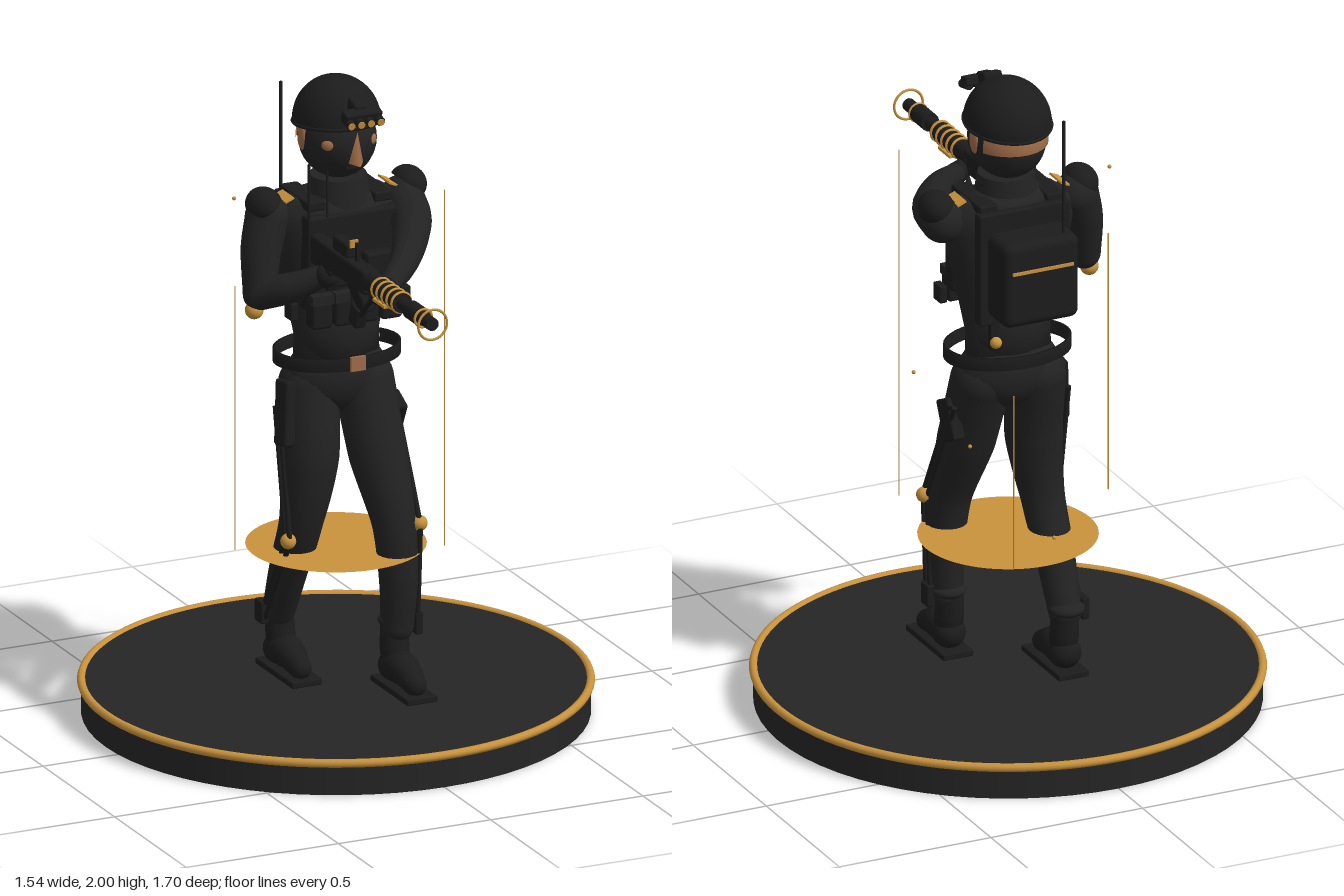
import * as THREE from 'three';
import { RoundedBoxGeometry } from 'three/addons/geometries/RoundedBoxGeometry.js';

const mat = (name, color) => {
  const m = new THREE.MeshStandardMaterial({ color, side: THREE.DoubleSide });
  m.name = name;
  return m;
};

export function createModel() {
  const root = new THREE.Group();
  root.name = 'armouredSoldier';
  const cloth = mat('charcoal cloth', 0x222222);
  const gear = mat('black gear', 0x1c1c1c);
  const stone = mat('dark base', 0x252525);
  const gold = mat('gold', 0xc8923c);
  const skin = mat('skin', 0xa06c48);
  const V = (p) => new THREE.Vector3(...p);

  const add = (name, geo, m, pos = [0, 0, 0], rot = [0, 0, 0], scale = [1, 1, 1]) => {
    const mesh = new THREE.Mesh(geo, m);
    mesh.name = name;
    mesh.position.set(...pos);
    mesh.rotation.set(...rot);
    mesh.scale.set(...scale);
    root.add(mesh);
    return mesh;
  };
  const ball = (name, r, m, pos, scale, rot) => add(name, new THREE.SphereGeometry(r, 24, 16), m, pos, rot, scale);
  const box = (name, size, m, pos, rot) => add(name, new THREE.BoxGeometry(...size), m, pos, rot);
  const soft = (name, size, m, pos, rot) =>
    add(name, new RoundedBoxGeometry(...size, 3, Math.min(...size) * 0.2), m, pos, rot);
  // Cylinder between two points
  const rod = (name, a, b, r, m, r2 = r) => {
    const d = V(b).sub(V(a));
    const mesh = add(name, new THREE.CylinderGeometry(r2, r, d.length(), 16), m);
    mesh.position.copy(V(a).addScaledVector(d, 0.5));
    mesh.quaternion.setFromUnitVectors(new THREE.Vector3(0, 1, 0), d.normalize());
    return mesh;
  };
  // Smooth tube whose radius follows the path, with rounded ends
  const limb = (name, pts, radii, m) => {
    const n = 32, sides = 20;
    const path = new THREE.CatmullRomCurve3(pts.map(V));
    const geo = new THREE.TubeGeometry(path, n, 1, sides);
    const pos = geo.attributes.position, v = new THREE.Vector3();
    for (let i = 0; i <= n; i++) {
      const c = path.getPointAt(i / n);
      const t = path.getUtoTmapping(i / n) * (radii.length - 1);
      const k = Math.min(Math.floor(t), radii.length - 2);
      const r = THREE.MathUtils.lerp(radii[k], radii[k + 1], t - k);
      for (let j = 0; j <= sides; j++) {
        const q = i * (sides + 1) + j;
        v.fromBufferAttribute(pos, q).sub(c).multiplyScalar(r).add(c);
        pos.setXYZ(q, v.x, v.y, v.z);
      }
    }
    geo.computeVertexNormals();
    add(name, geo, m);
    ball(name + 'Start', radii[0], m, pts[0]);
    ball(name + 'End', radii.at(-1), m, pts.at(-1));
  };
  const lathe = (name, pts, m, pos, scale) =>
    add(name, new THREE.LatheGeometry(pts.map((p) => new THREE.Vector2(...p)), 40), m, pos, undefined, scale);

  // Display base and floating disc
  add('base', new THREE.CylinderGeometry(0.758, 0.758, 0.09, 64), stone, [0, 0.045, -0.08]);
  add('baseTop', new THREE.CylinderGeometry(0.755, 0.755, 0.02, 64), stone, [0, 0.095, -0.08]);
  add('baseRim', new THREE.TorusGeometry(0.757, 0.013, 10, 96), gold, [0, 0.1, -0.08], [Math.PI / 2, 0, 0]);
  add('floatingDisc', new THREE.CircleGeometry(0.27, 64), gold, [0, 0.53, -0.08], [-Math.PI / 2, 0, 0]);

  // Thin uprights and floating sparks
  for (const [x, y0, y1, z] of [[-0.36, 0.58, 1.41, -0.02], [0.22, 0.58, 1.7, 0.21], [0.14, 0.57, 1.13, -0.41]])
    rod('lightLine', [x, y0, z], [x, y1, z], 0.002, gold);
  for (const p of [[0.34, 1.14, -0.14], [0.27, 0.98, -0.38], [0.05, 0.69, -0.5], [-0.33, 1.66, -0.09]])
    ball('spark', 0.006, gold, p);

  // Legs, left leg forward
  const legs = [
    { s: 1, pts: [[0.085, 1.04, -0.07], [0.1, 0.82, 0], [0.122, 0.62, 0.065], [0.13, 0.45, 0.08], [0.128, 0.3, 0.075]], foot: 0.135, knee: [0.19, 0.62, 0.1], shaft: 0.065 },
    { s: -1, pts: [[-0.085, 1.04, -0.09], [-0.1, 0.82, -0.05], [-0.122, 0.62, -0.065], [-0.13, 0.45, -0.135], [-0.128, 0.3, -0.205]], foot: -0.15, knee: [-0.185, 0.58, -0.02], shaft: -0.215 },
  ];
  for (const { s, pts, foot, knee, shaft } of legs) {
    limb('trouserLeg', pts, [0.092, 0.088, 0.066, 0.059, 0.05], cloth);
    ball('trouserCuff', 0.055, cloth, [s * 0.128, 0.315, shaft], [1, 0.45, 1]);
    const x = s * 0.122;
    limb('bootShaft', [[x, 0.29, shaft], [x, 0.23, shaft + 0.005], [x, 0.17, shaft + 0.015]], [0.042, 0.045, 0.042], gear);
    limb('bootFoot', [[x, 0.175, foot - 0.065], [x, 0.18, foot], [x, 0.155, foot + 0.08]], [0.05, 0.05, 0.034], gear);
    soft('bootSole', [0.1, 0.02, 0.26], gear, [x, 0.121, foot]);
    // Leg brace with gold knee joint
    const hip = [s * 0.188, 0.98, -0.09], ankle = [s * 0.185, 0.28, shaft + 0.015];
    const kx = s * 0.186;
    for (const dz of [-0.014, 0.014]) {
      rod('braceUpper', [hip[0], hip[1], hip[2] + dz], [kx, knee[1], knee[2] + dz], 0.008, gear);
      rod('braceLower', [kx, knee[1], knee[2] + dz], [ankle[0], ankle[1], ankle[2] + dz], 0.008, gear);
    }
    ball('kneeJoint', 0.024, gold, knee);
    soft('braceFoot', [0.025, 0.07, 0.05], gear, [s * 0.188, 0.305, ankle[2]]);
  }
  soft('holster', [0.05, 0.2, 0.08], gear, [-0.17, 0.97, -0.06], [-0.15, 0, -0.1]);
  soft('thighPouch', [0.04, 0.13, 0.08], gear, [0.175, 0.92, -0.05], [0.45, 0, 0]);
  ball('hips', 0.15, cloth, [0, 1.07, -0.08], [1.08, 0.8, 0.68]);

  // Torso and collar
  lathe('torso', [[0, 1.08], [0.138, 1.1], [0.135, 1.2], [0.16, 1.32], [0.19, 1.45], [0.208, 1.55], [0.2, 1.61], [0.15, 1.645], [0, 1.66]], cloth, [0, 0, -0.079], [1, 1, 0.58]);
  ball('waist', 0.13, cloth, [0, 1.22, -0.075], [1.02, 1.1, 0.8]);
  add('collar', new THREE.CylinderGeometry(0.085, 0.1, 0.09, 32), cloth, [0, 1.655, -0.065]);

  // Belt standing clear of the waist
  lathe('belt', [[0.19, 1.12], [0.2, 1.12], [0.2, 1.16], [0.19, 1.16], [0.19, 1.12]], gear, [0, 0, -0.075], [1, 1, 0.73]);
  box('buckle', [0.048, 0.045, 0.009], skin, [0, 1.142, 0.073]);
  ball('beltStud', 0.008, gold, [0.165, 1.14, -0.14]);
  ball('backClip', 0.018, gold, [0.1, 1.215, -0.205]);
  soft('backStrap', [0.03, 0.12, 0.02], gear, [0.1, 1.25, -0.19]);

  // Vest with pouches
  soft('vestFront', [0.3, 0.3, 0.06], gear, [0, 1.46, 0.015]);
  soft('vestBack', [0.3, 0.36, 0.04], gear, [0, 1.45, -0.18]);
  for (let i = 0; i < 4; i++) {
    const x = -0.114 + i * 0.076;
    soft('magazinePouch', [0.068, 0.1, 0.055], gear, [x, 1.315, 0.045]);
    box('pouchFlap', [0.07, 0.03, 0.06], cloth, [x, 1.357, 0.046]);
  }
  for (const s of [1, -1]) {
    soft('chestPouch', [0.09, 0.09, 0.05], gear, [s * 0.07, 1.44, 0.06]);
    soft('sidePouch', [0.025, 0.055, 0.05], gear, [s * 0.185, 1.315, 0]);
    soft('vestStrap', [0.06, 0.03, 0.2], gear, [s * 0.11, 1.635, -0.08]);
    box('strapClip', [0.03, 0.006, 0.08], gold, [s * 0.17, 1.645, -0.08], [0, 0, -s * 0.4]);
  }
  for (const [x, top] of [[-0.145, 1.78], [-0.085, 1.75]]) rod('radioAntenna', [x, 1.5, 0.04], [x, top, 0.04], 0.004, gear);

  // Backpack and whip antenna
  soft('backpack', [0.25, 0.27, 0.14], gear, [0, 1.435, -0.25]);
  box('backpackStripe', [0.2, 0.01, 0.006], gold, [0, 1.48, -0.321]);
  rod('whipAntenna', [-0.085, 1.55, -0.285], [-0.085, 1.93, -0.285], 0.005, gear);

  // Arms
  limb('leftArm', [[0.215, 1.585, -0.08], [0.185, 1.565, 0.05], [0.12, 1.54, 0.18], [0.03, 1.515, 0.31], [-0.06, 1.495, 0.4]], [0.068, 0.062, 0.052, 0.042, 0.032], cloth);
  limb('leftHand', [[-0.06, 1.495, 0.4], [-0.105, 1.49, 0.44]], [0.034, 0.03], gear);
  limb('rightUpperArm', [[-0.225, 1.59, -0.08], [-0.255, 1.5, -0.06], [-0.275, 1.37, -0.03]], [0.068, 0.062, 0.05], cloth);
  limb('rightForearm', [[-0.275, 1.37, -0.03], [-0.21, 1.405, 0.05], [-0.135, 1.45, 0.11]], [0.05, 0.046, 0.034], cloth);
  ball('rightHand', 0.038, gear, [-0.125, 1.455, 0.125]);
  ball('elbowPad', 0.028, gold, [-0.292, 1.322, -0.03]);
  box('armPatch', [0.006, 0.026, 0.06], skin, [0.253, 1.588, -0.005], [0, -0.2, 0]);
  for (const s of [1, -1]) {
    add('shoulderPad', new THREE.SphereGeometry(0.06, 24, 10, 0, Math.PI * 2, 0, Math.PI / 2), gear, [s * 0.236, 1.628, -0.08], [0, 0, -s * 0.6], [0.9, 0.9, 1.15]);
    add('shoulderMount', new THREE.CylinderGeometry(0.02, 0.02, 0.05, 16), gold, [s * 0.218, 1.63, -0.08], [0, 0, -s * 0.6]);
  }

  // Rifle along +z
  const gx = -0.12, gy = 1.53;
  const barrel = (name, z0, z1, r, m = gear) => rod(name, [gx, gy, z0], [gx, gy, z1], r, m);
  soft('rifleStock', [0.045, 0.09, 0.14], gear, [gx, 1.515, 0.1]);
  soft('rifleReceiver', [0.055, 0.075, 0.27], gear, [gx, 1.525, 0.29]);
  barrel('handguard', 0.4, 0.64, 0.031);
  barrel('barrel', 0.6, 0.85, 0.02);
  barrel('suppressor', 0.7, 0.78, 0.029);
  for (let i = 0; i < 5; i++)
    add('handguardRing', new THREE.TorusGeometry(0.031, 0.005, 8, 28), gold, [gx, gy, 0.49 + i * 0.035]);
  box('handguardStrip', [0.066, 0.009, 0.08], gold, [gx, 1.503, 0.54]);
  add('muzzleRing', new THREE.TorusGeometry(0.047, 0.004, 8, 40), gold, [gx, gy, 0.85]);
  add('barrelRing', new THREE.TorusGeometry(0.028, 0.004, 8, 28), gold, [gx, gy, 0.785]);
  soft('optic', [0.04, 0.045, 0.1], gear, [gx, 1.583, 0.24]);
  box('opticLens', [0.026, 0.024, 0.006], gold, [gx, 1.61, 0.3]);
  box('frontSight', [0.01, 0.06, 0.012], gear, [gx, 1.59, 0.325]);
  soft('magazine', [0.035, 0.13, 0.06], gear, [gx + 0.04, 1.44, 0.25], [-0.25, 0, 0.3]);
  soft('pistolGrip', [0.035, 0.09, 0.04], gear, [gx, 1.46, 0.14], [0.3, 0, 0]);
  // Sling
  const sling = new THREE.CatmullRomCurve3([[-0.1, 1.49, 0.42], [-0.09, 1.42, 0.33], [-0.07, 1.355, 0.23], [-0.04, 1.36, 0.13], [-0.02, 1.42, 0.07]].map(V));
  add('sling', new THREE.TubeGeometry(sling, 30, 0.008, 8), gear);
  soft('slingBox', [0.04, 0.07, 0.05], gear, [-0.07, 1.355, 0.225], [0.3, 0, 0]);

  // Head, mask and face
  ball('maskedHead', 0.12, cloth, [0, 1.815, -0.073], [0.97, 1.04, 1.08]);
  add('napeSkin', new THREE.SphereGeometry(0.125, 32, 8, Math.PI * 0.15, Math.PI * 0.7, Math.PI * 0.4, Math.PI * 0.13), skin, [0, 1.815, -0.073], [0, Math.PI, 0], [0.97, 1.04, 1.06]);
  add('nose', new THREE.ConeGeometry(0.024, 0.1, 4), skin, [0, 1.82, 0.065], [0.12, 0, 0], [1, 1, 1.4]);
  for (const s of [1, -1]) {
    ball('ear', 0.025, skin, [s * 0.11, 1.825, -0.08], [0.5, 1.7, 1]);
    ball('cheek', 0.022, skin, [s * 0.07, 1.822, 0.018], [1, 0.85, 0.6], [0, s * 0.6, 0]);
  }
  box('mouthSeam', [0.045, 0.006, 0.008], gear, [0, 1.75, 0.038]);

  // Helmet with four-lens goggles raised
  add('helmet', new THREE.SphereGeometry(0.137, 40, 20, 0, Math.PI * 2, 0, Math.PI * 0.5), gear, [0, 1.865, -0.076], [-0.1, 0, 0], [0.95, 1, 1.06]);
  add('helmetRim', new THREE.TorusGeometry(0.135, 0.006, 8, 48), gear, [0, 1.865, -0.076], [Math.PI / 2 - 0.1, 0, 0], [0.95, 1.06, 1]);
  soft('goggleMount', [0.04, 0.05, 0.06], gear, [0, 1.945, 0.065], [0.3, 0, 0]);
  soft('goggleBody', [0.12, 0.03, 0.04], gear, [0, 1.935, 0.1], [0.3, 0, 0]);
  for (let i = 0; i < 4; i++) {
    const x = -0.048 + i * 0.032;
    rod('goggleTube', [x, 1.925, 0.085], [x, 1.915, 0.132], 0.014, gear);
    rod('goggleLens', [x, 1.915, 0.131], [x, 1.914, 0.136], 0.011, gold);
  }

  return root;
}
